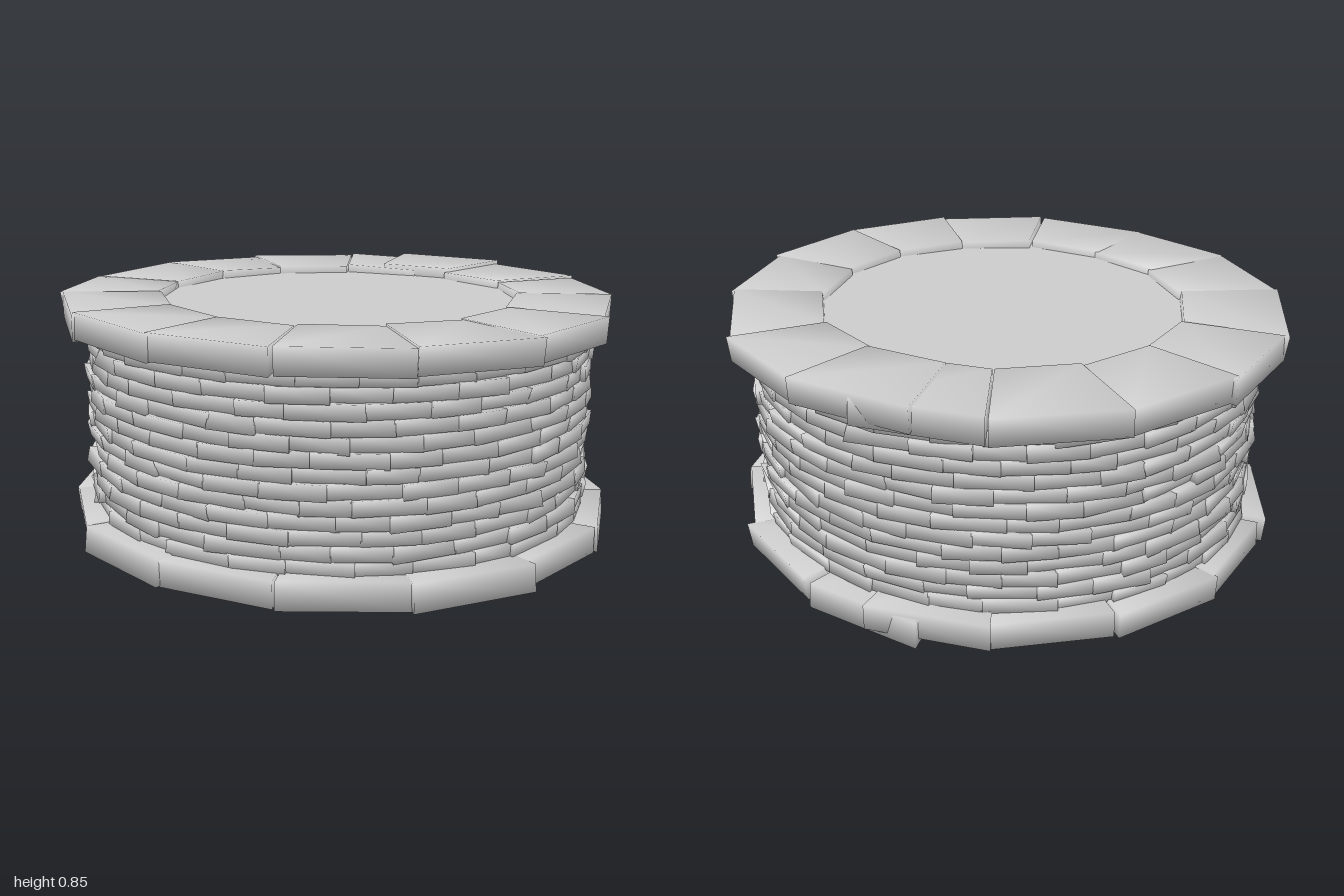
import * as THREE from 'three';
import { mergeGeometries } from 'three/addons/utils/BufferGeometryUtils.js';

const STRETCH = 1.05; // the ring is slightly oval along x
const DEG = Math.PI / 180;

// Small seeded generator, returns -1..1
function seeded(seed) {
  let s = seed;
  return () => {
    s = (s * 16807) % 2147483647;
    return (s / 2147483647) * 2 - 1;
  };
}

// Six-sided wedge between two angles, with shared corners for soft worn shading.
// skew turns it in plan, tilt lifts one end, lean pushes its top outwards.
function wedge({ a0, a1, r0, r1, y0, y1, skew = 0, tilt = 0, lean = 0 }) {
  const points = [];
  for (let i = 0; i < 8; i++) {
    const end = i & 1 ? 1 : -1;
    const outer = i & 2;
    const top = i & 4;
    const a = i & 1 ? a1 : a0;
    const r = (outer ? r1 : r0) + end * skew + (top ? lean : -lean);
    points.push(Math.cos(a) * r * STRETCH, (top ? y1 : y0) + end * tilt, Math.sin(a) * r);
  }
  const quads = [[0, 2, 3, 1], [4, 5, 7, 6], [2, 6, 7, 3], [0, 1, 5, 4], [0, 4, 6, 2], [1, 3, 7, 5]];
  const geometry = new THREE.BufferGeometry();
  geometry.setAttribute('position', new THREE.Float32BufferAttribute(points, 3));
  geometry.setIndex(quads.flatMap(([a, b, c, d]) => [a, b, c, a, c, d]));
  geometry.computeVertexNormals();
  return geometry;
}

export function createModel() {
  const model = new THREE.Group();
  model.name = 'roundStoneWell';
  const material = new THREE.MeshStandardMaterial({ color: 0xcccccc });
  const rand = seeded(4711);

  const add = (name, geometry, parent = model) => {
    const mesh = new THREE.Mesh(geometry, material);
    mesh.name = name;
    parent.add(mesh);
    return mesh;
  };

  const drum = (name, radius, y0, y1) => {
    const mesh = add(name, new THREE.CylinderGeometry(radius, radius, y1 - y0, 64), model);
    mesh.position.y = (y0 + y1) / 2;
    mesh.scale.x = STRETCH;
  };

  // Flat filling seen inside the rims, and the backing behind the bricks
  drum('filling', 0.68, 0.05, 0.815);
  drum('wallCore', 0.81, 0.1, 0.77);

  // Rims of large slabs; the last slab laps over the first at the back
  const rim = (name, y0, y1, lapStep) => {
    const group = new THREE.Group();
    group.name = name;
    const count = 15, step = 24.7 * DEG;
    for (let i = 0; i < count; i++) {
      const a0 = 264 * DEG + i * step + rand() * 0.012;
      const lap = i === 0 ? lapStep : 0;
      add('rimSlab', wedge({
        a0, a1: a0 + step + 0.005 + rand() * 0.01,
        r0: 0.618 + rand() * 0.012, r1: 0.938 + rand() * 0.012,
        y0: y0 + lap, y1: y1 + lap,
        skew: rand() * 0.01, tilt: rand() * 0.005, lean: rand() * 0.006,
      }), group);
    }
    model.add(group);
  };
  rim('topRim', 0.752, 0.842, 0.012);
  rim('bottomRim', 0.022, 0.115, -0.018);

  // Courses of small bricks, each course shifted by about half a brick
  const rows = 13, bottom = 0.108, pitch = 0.05;
  for (let row = 0; row < rows; row++) {
    const bricks = [];
    const count = 29;
    const step = (Math.PI * 2) / count;
    const shift = (row % 2) * step * 0.5 + rand() * step * 0.15;
    const y = bottom + row * pitch;
    const cuts = Array.from({ length: count }, () => rand() * step * 0.16);
    for (let i = 0; i < count; i++) {
      const odd = rand() > 0.85 ? 2.5 : 1; // a few bricks sit crooked
      bricks.push(wedge({
        a0: shift + i * step + cuts[i],
        a1: shift + (i + 1) * step + cuts[(i + 1) % count] + 0.004,
        r0: 0.74, r1: 0.864 + rand() * 0.008,
        y0: y, y1: y + pitch + 0.001,
        skew: rand() * 0.006 * odd, tilt: rand() * 0.0025 * odd, lean: rand() * 0.005 * odd,
      }));
    }
    add('brickCourse', mergeGeometries(bricks));
  }

  return model;
}
